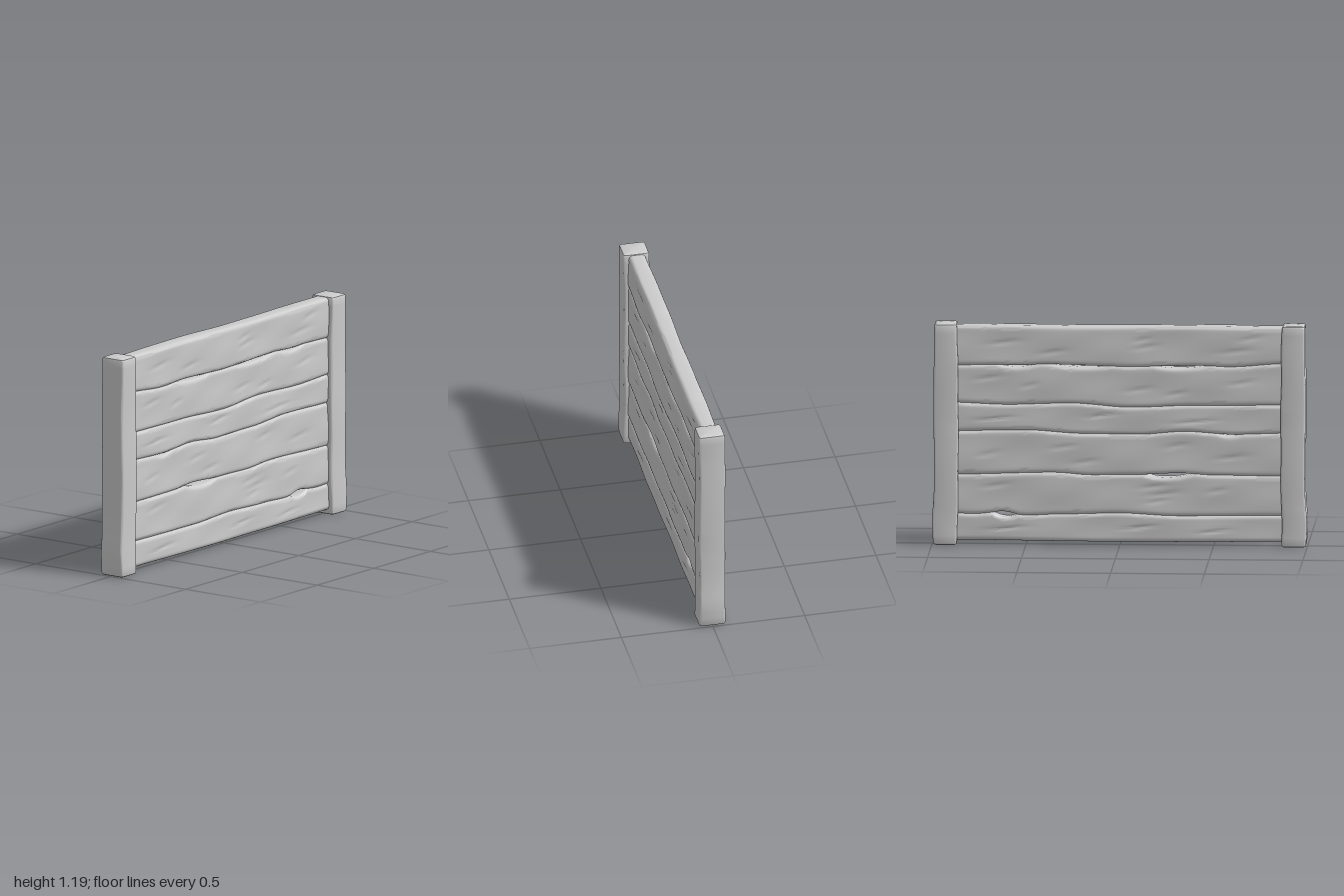
import * as THREE from 'three';
import { toCreasedNormals } from 'three/addons/utils/BufferGeometryUtils.js';

const material = new THREE.MeshStandardMaterial({ color: 0xcccccc });

// Height lines between planks, bottom to top, as [x, y] points
const SEAMS = [
  [[-0.9, 0.027], [0, 0.022], [0.9, 0.027]],
  [[-0.9, 0.168], [-0.3, 0.163], [0, 0.176], [0.3, 0.168], [0.5, 0.16], [0.63, 0.178], [0.78, 0.166], [0.9, 0.17]],
  [[-0.9, 0.38], [-0.5, 0.384], [-0.32, 0.394], [-0.08, 0.384], [0.15, 0.38], [0.35, 0.392], [0.9, 0.378]],
  [[-0.9, 0.612], [-0.6, 0.604], [-0.35, 0.618], [-0.1, 0.6], [0.2, 0.603], [0.5, 0.62], [0.9, 0.612]],
  [[-0.9, 0.763], [-0.4, 0.758], [-0.05, 0.746], [0.25, 0.766], [0.6, 0.756], [0.9, 0.766]],
  [[-0.9, 0.987], [-0.58, 0.967], [-0.38, 0.977], [-0.05, 0.964], [0.28, 0.977], [0.6, 0.972], [0.9, 0.966]],
  [[-0.9, 1.18], [-0.4, 1.184], [0.1, 1.178], [0.9, 1.182]],
];
// Open gaps: [seam, centre x, half width, drop below, rise above]
const GAPS = [
  [1, 0.61, 0.07, 0.028, 0.004],
  [2, -0.265, 0.135, 0.026, 0],
  [3, -0.59, 0.07, 0.01, 0],
  [5, -0.335, 0.15, 0.02, -0.004],
  [5, 0.215, 0.17, 0.018, -0.004],
  [5, 0.54, 0.11, 0.015, -0.004],
];
// Wood grain dents: [x, y, half length]
const GRAIN = [
  [-0.62, 1.09, 0.12], [-0.36, 1.04, 0.1], [0.12, 1.11, 0.07], [0.14, 1.07, 0.09], [0.62, 1.05, 0.13], [0.7, 1.12, 0.08],
  [-0.7, 0.9, 0.1], [-0.48, 0.86, 0.06], [0.1, 0.84, 0.1], [0.3, 0.82, 0.08], [0.65, 0.88, 0.1],
  [-0.66, 0.68, 0.14], [-0.1, 0.7, 0.1], [0.4, 0.67, 0.16],
  [-0.7, 0.49, 0.08], [-0.3, 0.53, 0.1], [-0.18, 0.45, 0.1], [0.3, 0.54, 0.09], [0.6, 0.48, 0.12],
  [-0.66, 0.32, 0.1], [0.18, 0.32, 0.1], [0.24, 0.28, 0.12], [0.2, 0.24, 0.08], [0.52, 0.3, 0.08],
  [-0.6, 0.09, 0.14], [0.1, 0.1, 0.12], [0.5, 0.08, 0.12],
];

function seamY(points, x) {
  let i = 0;
  while (i < points.length - 2 && x > points[i + 1][0]) i++;
  const [[x0, y0], [x1, y1]] = [points[i], points[i + 1]];
  return y0 + (y1 - y0) * THREE.MathUtils.smoothstep(x, x0, x1);
}

// Plank edge beside a seam; side is +1 for the plank above, -1 for the one below
function edgeY(seam, x, side) {
  let y = seamY(SEAMS[seam], x) - side * 0.002;
  for (const [s, c, w, drop, rise] of GAPS) {
    if (s !== seam) continue;
    const bump = Math.max(0, 1 - ((x - c) / w) ** 2);
    y += bump * (side > 0 ? rise : -drop);
  }
  return y;
}

function grainDepth(x, y) {
  let d = 0.0015 * Math.sin(x * 7 + y * 23) + 0.001 * Math.sin(x * 15 - y * 31);
  for (const [gx, gy, len] of GRAIN) {
    const u = (x - gx) / len;
    const v = (y - gy - 0.008 * Math.sin(u * 2)) / 0.01;
    d += 0.005 * Math.exp(-u * u * 2 - v * v);
  }
  return d;
}

// Skin a closed solid over equal-length rings, with fan caps
function loft(rings, crease) {
  const n = rings[0].length, pos = rings.flat(2), idx = [];
  for (let r = 0; r < rings.length - 1; r++) {
    for (let i = 0; i < n; i++) {
      const a = r * n + i, b = r * n + (i + 1) % n;
      idx.push(a, b, a + n, b, b + n, a + n);
    }
  }
  [0, rings.length - 1].forEach((r, end) => {
    const centre = pos.length / 3;
    for (let k = 0; k < 3; k++) pos.push(rings[r].reduce((s, p) => s + p[k], 0) / n);
    for (let i = 0; i < n; i++) {
      const a = r * n + i, b = r * n + (i + 1) % n;
      if (end) idx.push(a, b, centre); else idx.push(b, a, centre);
    }
  });
  const g = new THREE.BufferGeometry();
  g.setAttribute('position', new THREE.Float32BufferAttribute(pos, 3));
  g.setIndex(idx);
  return toCreasedNormals(g, crease);
}

// One wavy plank with rounded long edges, running along x
function plank(k) {
  const rings = [], steps = 90, rows = 14, half = 0.047, round = 0.022;
  for (let i = 0; i <= steps; i++) {
    const x = -0.9 + 1.8 * i / steps;
    const lo = edgeY(k, x, 1), hi = edgeY(k + 1, x, -1);
    const ys = [];
    for (let j = 0; j < 4; j++) ys.push([1 - Math.cos(j * Math.PI / 8), Math.sin(j * Math.PI / 8)]);
    const profile = ys.map(([dy, s]) => [lo + round * dy, half - round * (1 - s)]);
    for (let j = 0; j <= rows; j++) profile.push([lo + round + (hi - lo - 2 * round) * j / rows, half]);
    ys.reverse().forEach(([dy, s]) => profile.push([hi - round * dy, half - round * (1 - s)]));
    const front = profile.map(([y, z]) => [x, y, z - grainDepth(x, y)]);
    const back = profile.map(([y, z]) => [x, y, -z - 0.003 + grainDepth(-x, y)]).reverse();
    // order runs around +x so faces look outward
    rings.push([...front, ...back].reverse());
  }
  return loft(rings, 0.9);
}

// Square post with softened corners and a slightly uneven outline; side is +1 or -1
function post(side) {
  const levels = [[0, 0.01], [0.004, 0.003], [0.012, 0]];
  for (let i = 1; i < 30; i++) levels.push([0.012 + 1.166 * i / 30, 0]);
  levels.push([1.178, 0], [1.186, 0.003], [1.19, 0.01]);
  const c = 0.012;
  const rings = levels.map(([y, inset]) => {
    const bulge = 0.01 * Math.exp(-(((y - 0.12) / 0.09) ** 2));
    const outer = 0.99 + bulge + 0.002 * Math.sin(y * 9 + 1) * (1 - bulge * 100) - inset;
    const inner = 0.866 - 0.007 * Math.sin(y * Math.PI / 1.19) + 0.002 * Math.sin(y * 17 + side) + inset;
    const zf = 0.073 - 0.003 * Math.sin(y * 5.5) ** 2 - inset;
    const zb = -0.072 + 0.003 * Math.sin(y * 6 + 0.6) ** 2 + inset;
    const ring = [];
    const corners = [[outer, zf, 0], [inner, zf, 1], [inner, zb, 2], [outer, zb, 3]];
    for (const [x, z, q] of corners) {
      const sx = x === outer ? -1 : 1, sz = z === zf ? -1 : 1;
      for (let j = 0; j <= 3; j++) {
        const a = q * Math.PI / 2 + j * Math.PI / 6;
        ring.push([side * (x + sx * c + c * Math.cos(a)), y, z + sz * c + c * Math.sin(a)]);
      }
    }
    return side > 0 ? ring.reverse() : ring;
  });
  return loft(rings, 0.6);
}

export function createModel() {
  const group = new THREE.Group();
  group.name = 'woodenFence';
  const add = (geometry, name) => {
    const mesh = new THREE.Mesh(geometry, material);
    mesh.name = name;
    group.add(mesh);
  };
  for (let k = 0; k < SEAMS.length - 1; k++) add(plank(k), `plank${k + 1}`);
  add(post(1), 'leftPost');
  add(post(-1), 'rightPost');
  return group;
}
